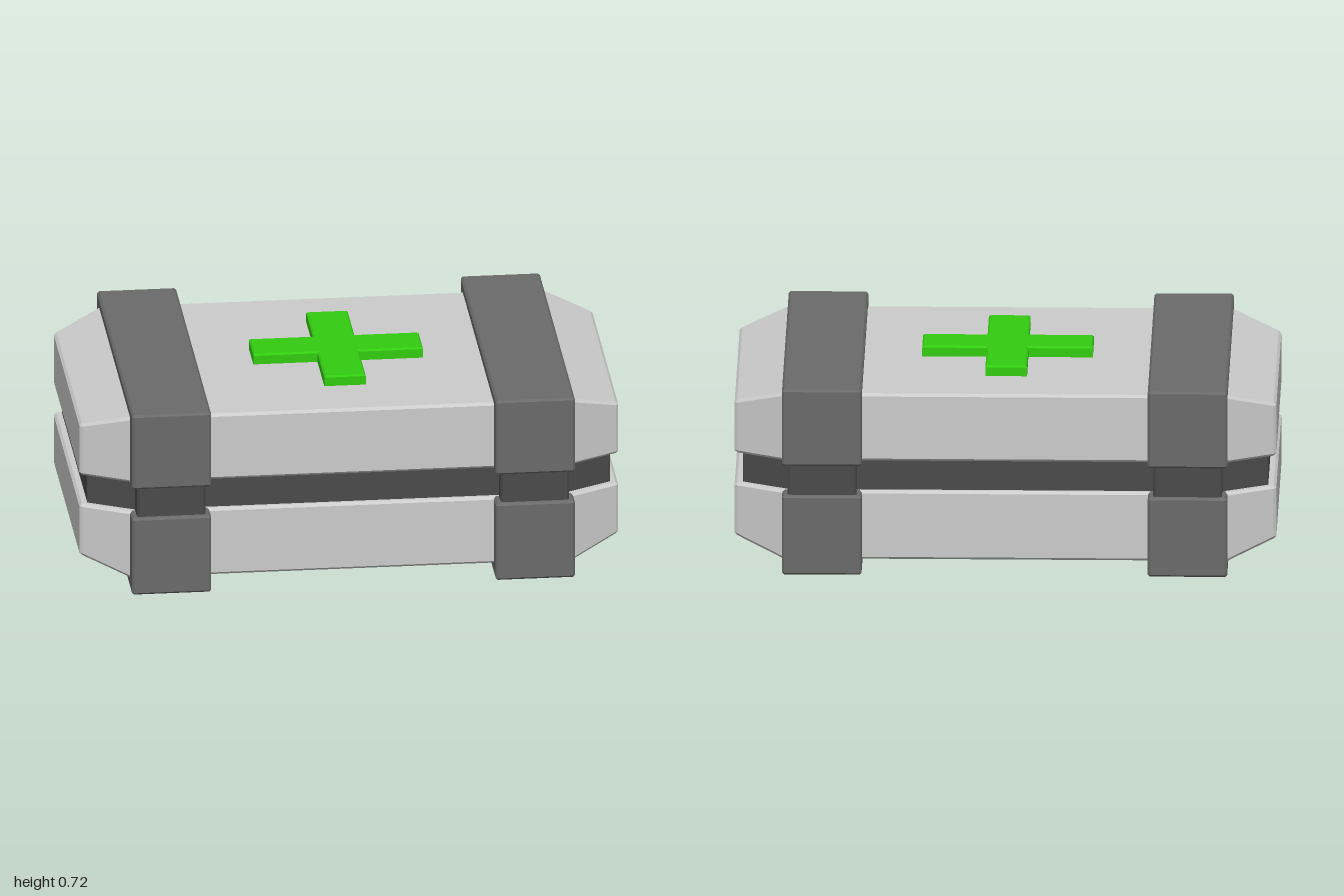
import * as THREE from 'three';
import { ConvexGeometry } from 'three/addons/geometries/ConvexGeometry.js';

const shellGrey = new THREE.MeshStandardMaterial({ color: 0xcccccc });
const strapGrey = new THREE.MeshStandardMaterial({ color: 0x6a6a6a });
const coreGrey = new THREE.MeshStandardMaterial({ color: 0x4a4a4a });
const green = new THREE.MeshStandardMaterial({ color: 0x33cc11 });

// Convex solid through rectangular sections [x, halfDepth, yLow, yHigh].
// Every corner is cut back by b, which leaves a narrow bevel on the edges.
function bevelledSolid(sections, b) {
  const points = [];
  const last = sections.length - 1;
  sections.forEach(([x, d, y0, y1], i) => {
    const inward = i === 0 ? b : i === last ? -b : 0;
    for (const [y, dy] of [[y0, b], [y1, -b]]) {
      for (const s of [-1, 1]) {
        points.push(new THREE.Vector3(x + inward, y + dy, s * d));
        points.push(new THREE.Vector3(x + inward, y, s * (d - b)));
        if (inward) points.push(new THREE.Vector3(x, y + dy, s * (d - b)));
      }
    }
  });
  return new ConvexGeometry(points);
}

export function createModel() {
  const model = new THREE.Group();
  model.name = 'medicalCase';

  const add = (name, geometry, material) => {
    const mesh = new THREE.Mesh(geometry, material);
    mesh.name = name;
    model.add(mesh);
    return mesh;
  };

  // Tapered shells; the outer ends are lower and narrower
  const shell = (low, lowEnd, high, highEnd) => bevelledSolid([
    [-1, 0.455, lowEnd, highEnd],
    [-0.82, 0.545, low, high],
    [0.82, 0.545, low, high],
    [1, 0.455, lowEnd, highEnd],
  ], 0.01);
  add('bottomShell', shell(0.04, 0.1, 0.305, 0.305), shellGrey);
  add('lid', shell(0.42, 0.42, 0.68, 0.625), shellGrey);

  // Recessed dark core seen between the shells
  add('core', bevelledSolid([
    [-0.97, 0.44, 0.28, 0.44],
    [-0.8, 0.525, 0.28, 0.44],
    [0.8, 0.525, 0.28, 0.44],
    [0.97, 0.44, 0.28, 0.44],
  ], 0.005), coreGrey);

  // Straps around both shells, with a recessed band at the seam
  for (const [side, s] of [['left', 1], ['right', -1]]) {
    const strap = (x, half, depth, low, high) => bevelledSolid([
      [s * x - half, depth, low, high],
      [s * x + half, depth, low, high],
    ], 0.008);
    add(side + 'LowerStrap', strap(0.675, 0.147, 0.615, 0, 0.305), strapGrey);
    add(side + 'UpperStrap', strap(0.675, 0.147, 0.615, 0.42, 0.715), strapGrey);
    add(side + 'StrapSeam', strap(0.675, 0.127, 0.598, 0.28, 0.44), coreGrey);
  }

  // Raised green cross on the lid
  const b = 0.006, a = 0.315 - b, w = 0.077 - b;
  const outline = [
    [w, a], [-w, a], [-w, w], [-a, w], [-a, -w], [-w, -w],
    [-w, -a], [w, -a], [w, -w], [a, -w], [a, w], [w, w],
  ].map(([x, y]) => new THREE.Vector2(x, y));
  const crossGeometry = new THREE.ExtrudeGeometry(new THREE.Shape(outline), {
    depth: 0.044, bevelEnabled: true, bevelSize: b, bevelThickness: b, bevelSegments: 1,
  });
  crossGeometry.rotateX(-Math.PI / 2);
  add('cross', crossGeometry, green).position.y = 0.67;

  return model;
}
